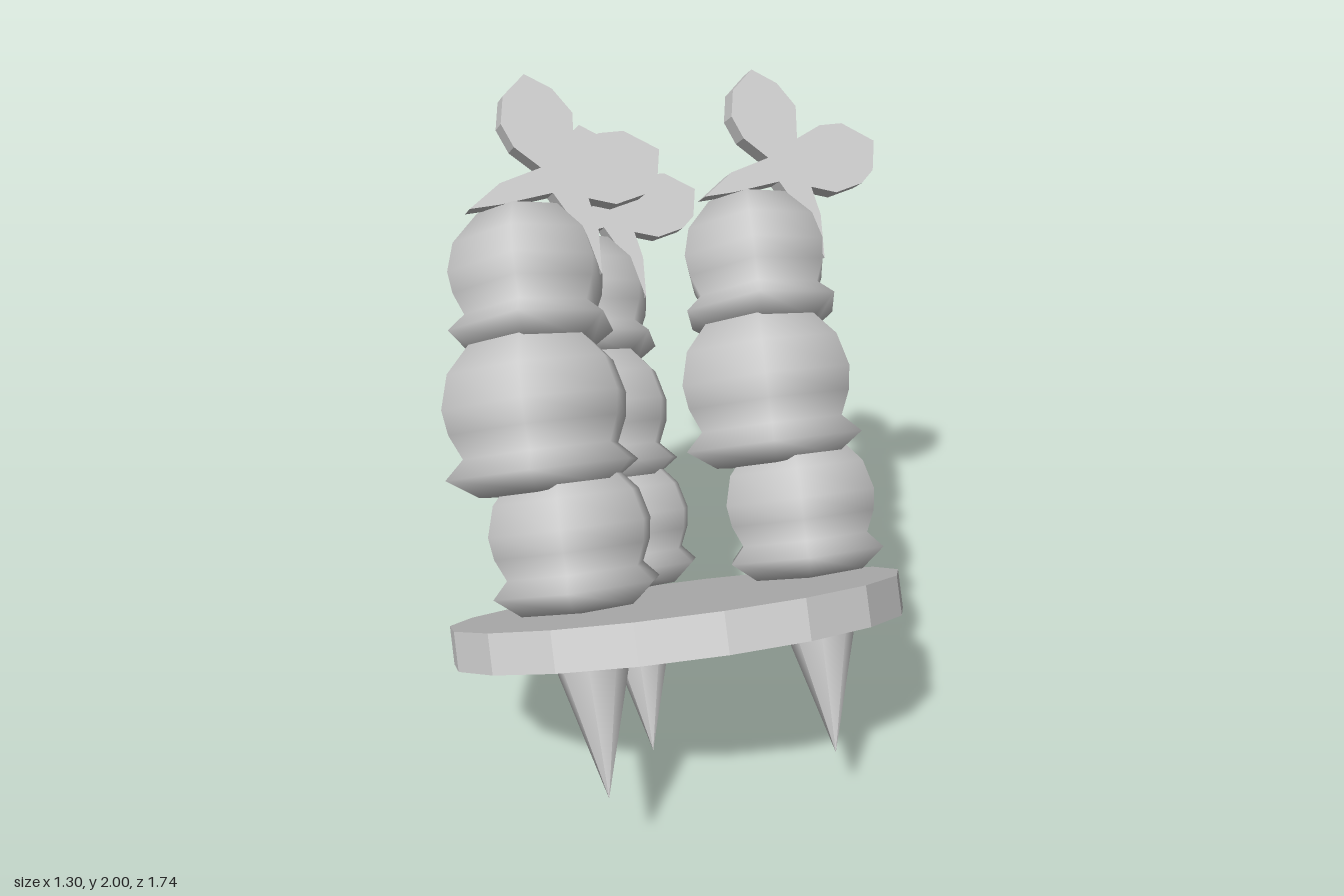
import * as THREE from 'three';

const grey = new THREE.MeshStandardMaterial({ color: 0xcccccc });
const greyFlat = new THREE.MeshStandardMaterial({ color: 0xcccccc, flatShading: true });

function addMesh(parent, name, geometry, material = grey) {
  const mesh = new THREE.Mesh(geometry, material);
  mesh.name = name;
  parent.add(mesh);
  return mesh;
}

// Six-sided bulb with a flared lip at y = 0 and a short foot below it
function bulbGeometry(radius, height, lip) {
  const profile = [
    [0, -0.07], [0.72 * radius, -0.055], [lip, 0],
    [0.84 * radius, 0.12 * height], [0.96 * radius, 0.28 * height],
    [radius, 0.44 * height], [0.9 * radius, 0.66 * height],
    [0.56 * radius, 0.89 * height], [0, height],
  ].map(([r, y]) => new THREE.Vector2(r, y));
  return new THREE.LatheGeometry(profile, 6);
}

// Flat sprig: two broad leaves (up and right) and two thin tails (left and down)
function sprigGeometry() {
  const outline = [
    [0.055, 0.06], [0.09, 0.15], [0.06, 0.23], [0, 0.29], [-0.08, 0.25],
    [-0.115, 0.18], [-0.105, 0.11], [-0.055, 0.035],
    [-0.18, 0.03], [-0.285, -0.01], [-0.2, -0.025], [-0.05, -0.04],
    [-0.02, -0.15], [-0.005, -0.29], [0.035, -0.17], [0.04, -0.085],
    [0.11, -0.125], [0.2, -0.125], [0.25, -0.1], [0.29, -0.02],
    [0.21, 0.06], [0.14, 0.075],
  ].map(([x, y]) => new THREE.Vector2(x, y));
  const geometry = new THREE.ExtrudeGeometry(new THREE.Shape(outline), { depth: 0.06, bevelEnabled: false });
  return geometry.translate(0, 0, -0.06);
}

export function createModel() {
  const model = new THREE.Group();
  model.name = 'model';

  // Everything stands on one tilted disc
  const tilted = new THREE.Group();
  tilted.name = 'tiltedBody';
  tilted.position.set(0, 0.565, 0.285);
  tilted.rotation.set(-0.525, 0, 0.155);
  model.add(tilted);

  const disc = addMesh(tilted, 'disc', new THREE.CylinderGeometry(0.65, 0.65, 0.11, 18), greyFlat);
  disc.rotation.y = -0.1;

  // Each bulb sits slightly off the column's axis
  const bulbs = [
    { name: 'lowerBulb', at: [0, 0.138, 0], tilt: 0, geometry: bulbGeometry(0.237, 0.37, 0.243) },
    { name: 'middleBulb', at: [-0.052, 0.462, 0], tilt: 0, geometry: bulbGeometry(0.268, 0.42, 0.28) },
    { name: 'upperBulb', at: [-0.04, 0.838, -0.01], tilt: -0.14, geometry: bulbGeometry(0.225, 0.365, 0.238) },
  ];
  const sprig = sprigGeometry();
  const spike = new THREE.ConeGeometry(0.105, 0.375, 8).rotateX(Math.PI);

  // Three columns of bulbs, each with a sprig on top and a spike below
  const places = [['front', -0.23, 0.33], ['left', 0.39, 0.045], ['back', -0.16, -0.345]];
  for (const [side, x, z] of places) {
    const column = new THREE.Group();
    column.name = side + 'Column';
    column.position.set(x, 0, z);
    tilted.add(column);

    for (const bulb of bulbs) {
      const mesh = addMesh(column, bulb.name, bulb.geometry);
      mesh.position.set(...bulb.at);
      mesh.rotation.x = bulb.tilt;
    }

    const leaf = addMesh(column, 'sprig', sprig, greyFlat);
    leaf.position.set(0.092, 1.255, -0.045);
    leaf.rotation.set(-0.042, 0.41, 0.26, 'YXZ');

    addMesh(column, 'spike', spike).position.set(0.012, -0.2425, 0);
  }
  return model;
}
